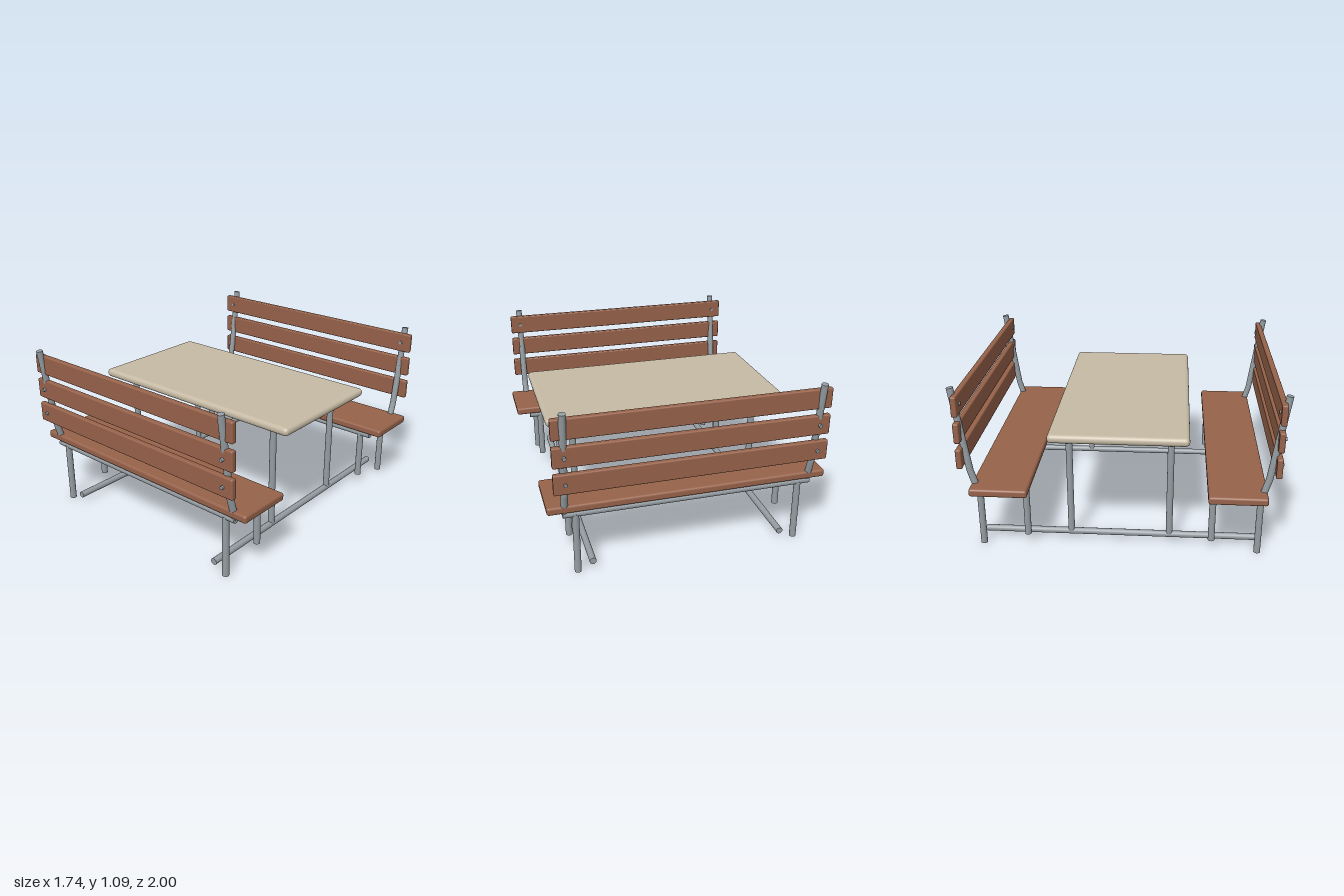
import * as THREE from 'three';
import { RoundedBoxGeometry } from 'three/addons/geometries/RoundedBoxGeometry.js';

export function createModel() {
  const model = new THREE.Group();
  model.name = 'picnicTable';

  const wood = new THREE.MeshStandardMaterial({ color: 0x96624a });
  wood.name = 'brown wood';
  const stone = new THREE.MeshStandardMaterial({ color: 0xc6baa4 });
  stone.name = 'beige table top';
  const steel = new THREE.MeshStandardMaterial({ color: 0x959da2 });
  steel.name = 'grey steel';

  const UP = new THREE.Vector3(0, 1, 0);
  const R = 0.021;

  function add(parent, name, geometry, material, x, y, z) {
    const mesh = new THREE.Mesh(geometry, material);
    mesh.name = name;
    mesh.position.set(x, y, z);
    parent.add(mesh);
    return mesh;
  }

  // Rounded board centred on a point
  function board(parent, name, size, radius, material, x, y, z) {
    return add(parent, name, new RoundedBoxGeometry(...size, 4, radius), material, x, y, z);
  }

  // Straight round bar between two points
  function bar(parent, name, from, to, radius = R) {
    const a = new THREE.Vector3(...from);
    const b = new THREE.Vector3(...to);
    const dir = b.clone().sub(a);
    const mid = a.clone().add(b).multiplyScalar(0.5);
    const geometry = new THREE.CylinderGeometry(radius, radius, dir.length(), 20);
    const mesh = add(parent, name, geometry, steel, mid.x, mid.y, mid.z);
    mesh.quaternion.setFromUnitVectors(UP, dir.normalize());
    return mesh;
  }

  // Table: top, legs and the bars under it
  const table = new THREE.Group();
  table.name = 'table';
  model.add(table);
  board(table, 'tableTop', [1.57, 0.055, 0.85], 0.026, stone, 0, 0.777, 0);
  for (const z of [-0.315, 0.315]) {
    bar(table, 'topBar', [-0.695, 0.733, z], [0.695, 0.733, z]);
    for (const x of [-0.607, 0.607]) bar(table, 'tableLeg', [x, 0.05, z], [x, 0.733, z]);
  }

  // Floor rails joining the table to both benches
  for (const x of [-0.607, 0.607]) {
    bar(model, 'floorRail', [x, 0.05, -0.87], [x, 0.05, 0.87]);
  }

  // Bench on the +z side, with its back facing outwards
  function createBench(name) {
    const bench = new THREE.Group();
    bench.name = name;
    board(bench, 'seat', [1.735, 0.05, 0.355], 0.015, wood, 0, 0.446, 0.72);
    for (const y of [0.65, 0.818, 0.987]) {
      board(bench, 'backSlat', [1.66, 0.127, 0.036], 0.009, wood, 0, y, 0.948);
    }

    // Seat frame
    for (const z of [0.58, 0.868]) {
      bar(bench, 'seatBar', [-0.775, 0.402, z], [0.775, 0.402, z]);
    }
    for (const side of [-1, 1]) {
      const x = side * 0.7;
      bar(bench, 'crossBar', [x, 0.4, 0.58], [x, 0.4, 0.868]);
      bar(bench, 'outerLeg', [x, 0, 0.87], [x, 0.4, 0.87]);
      bar(bench, 'innerLeg', [x, 0.077, 0.58], [x, 0.4, 0.58]);

      // Bent post carrying the back
      const px = side * 0.763;
      bar(bench, 'lowerPost', [px, 0.41, 0.862], [px, 0.55, 0.902]);
      add(bench, 'postBend', new THREE.SphereGeometry(R, 20, 12), steel, px, 0.55, 0.902);
      bar(bench, 'upperPost', [px, 0.55, 0.902], [px, 1.086, 0.978]);

      // Bolts through the slats
      bar(bench, 'bolt', [px, 0.65, 0.92], [px, 0.65, 0.978], 0.011);
      bar(bench, 'bolt', [px, 0.818, 0.922], [px, 0.818, 0.983], 0.011);
      bar(bench, 'bolt', [px, 0.987, 0.922], [px, 0.987, 0.965], 0.011);
    }
    return bench;
  }

  const frontBench = createBench('frontBench');
  const backBench = createBench('backBench');
  backBench.rotation.y = Math.PI;
  model.add(frontBench, backBench);

  return model;
}
